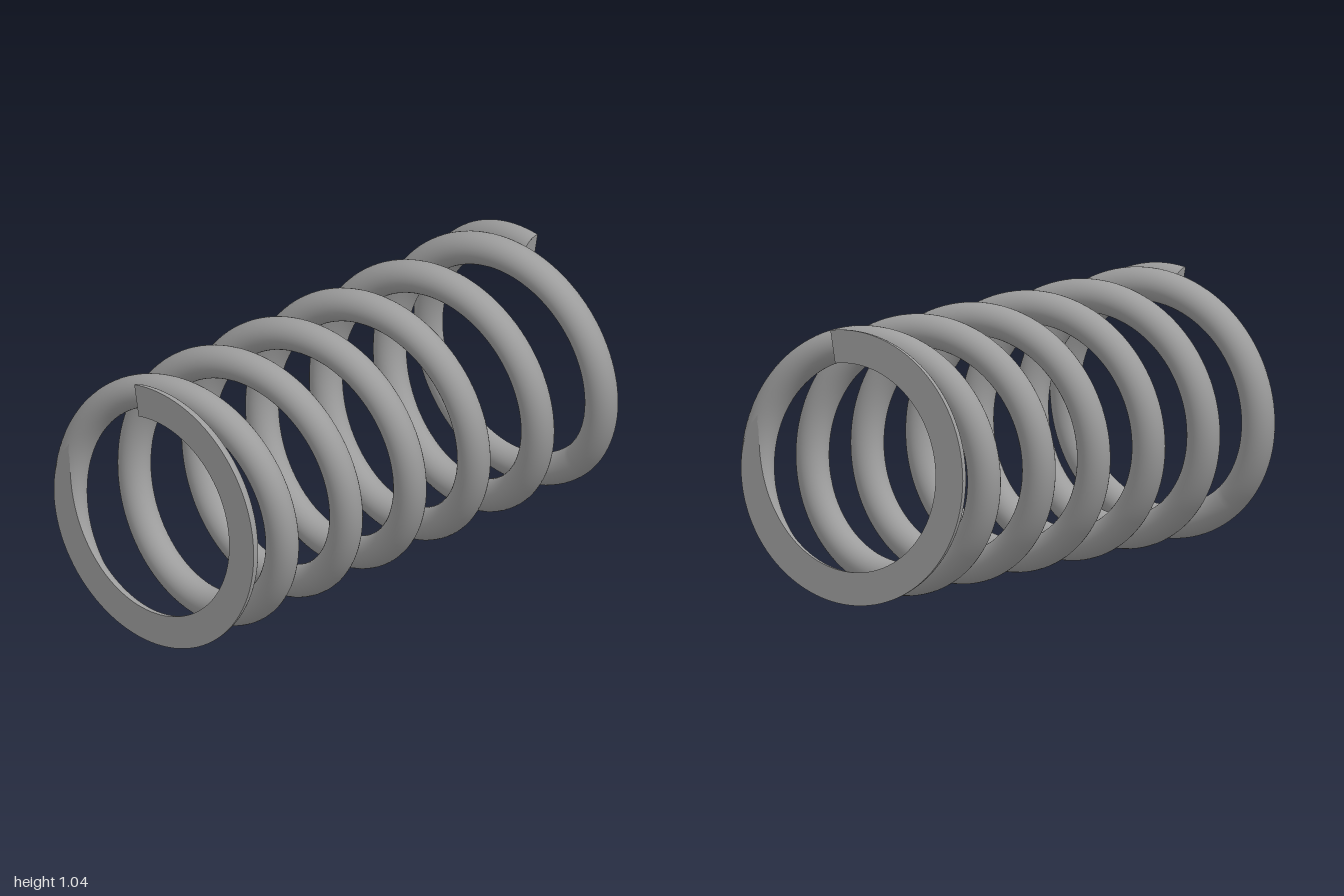
import * as THREE from 'three';

const COIL = 0.4555;   // coil centreline radius
const WIRE = 0.0625;   // wire radius
const PITCH = 0.3472;  // advance per turn
const END = 1;         // ground end plane
const TURNS = 3.528;   // turns from the middle to one tip
const STEPS = 380;
const SIDES = 32;

const turnAt = (i) => (i / STEPS) * TURNS;
const angleAt = (t) => -Math.PI / 2 + t * Math.PI * 2;
const centreZ = (t) => Math.min(PITCH * t, END);

// Surface from a grid of [position, normal] pairs
function gridSurface(rows, cols, point) {
  const pos = [], nor = [], idx = [];
  for (let i = 0; i <= rows; i++) {
    for (let j = 0; j <= cols; j++) {
      const [p, n] = point(i, j);
      pos.push(...p.toArray());
      nor.push(...n.normalize().toArray());
      if (i < rows && j < cols) {
        const a = i * (cols + 1) + j, b = a + cols + 1;
        idx.push(a, b, a + 1, b, b + 1, a + 1);
      }
    }
  }
  const g = new THREE.BufferGeometry();
  g.setAttribute('position', new THREE.Float32BufferAttribute(pos, 3));
  g.setAttribute('normal', new THREE.Float32BufferAttribute(nor, 3));
  g.setIndex(idx);
  return g;
}

// Angle on the wire section where the end plane cuts it (PI/2 = uncut)
const cutAngle = (t) => Math.asin(Math.min(1, (END - centreZ(t)) / WIRE));

// Round part of the wire, trimmed by the end plane
function wireGeometry() {
  return gridSurface(STEPS, SIDES, (i, j) => {
    const t = turnAt(i), th = angleAt(t), cut = cutAngle(t);
    const a = THREE.MathUtils.lerp(Math.PI - cut, Math.PI * 2 + cut, j / SIDES);
    const rad = COIL + WIRE * Math.cos(a);
    const slope = PITCH * t < END ? PITCH / (Math.PI * 2 * rad) : 0;
    const c = Math.cos(th), s = Math.sin(th), ca = Math.cos(a), sa = Math.sin(a);
    return [
      new THREE.Vector3(rad * c, rad * s, centreZ(t) + WIRE * sa),
      new THREE.Vector3(ca * c + slope * sa * s, ca * s - slope * sa * c, sa),
    ];
  });
}

// Flat ground face closing the trimmed wire, on the same rows as the wire
function flatGeometry() {
  const first = Math.floor(((END - WIRE) / PITCH / TURNS) * STEPS);
  return gridSurface(STEPS - first, 1, (i, j) => {
    const t = turnAt(first + i), th = angleAt(t), cut = cutAngle(t);
    const rad = COIL + (j ? -1 : 1) * WIRE * Math.cos(cut);
    return [
      new THREE.Vector3(rad * Math.cos(th), rad * Math.sin(th), centreZ(t) + WIRE * Math.sin(cut)),
      new THREE.Vector3(0, 0, 1),
    ];
  });
}

// Half-disc at the wire tip
function tipGeometry() {
  const th = angleAt(TURNS), c = Math.cos(th), s = Math.sin(th);
  const m = new THREE.Matrix4().makeBasis(
    new THREE.Vector3(-c, -s, 0), new THREE.Vector3(0, 0, 1), new THREE.Vector3(-s, c, 0));
  m.setPosition(COIL * c, COIL * s, END);
  return new THREE.CircleGeometry(WIRE, 24, Math.PI, Math.PI).applyMatrix4(m);
}

export function createModel() {
  const spring = new THREE.Group();
  spring.name = 'compressionSpring';
  const material = new THREE.MeshStandardMaterial({ color: 0x9d9d9d });
  const parts = { coilWire: wireGeometry(), groundFace: flatGeometry(), wireTip: tipGeometry() };

  // Two identical halves, the back one turned half way round
  ['frontHalf', 'backHalf'].forEach((name, k) => {
    const half = new THREE.Group();
    half.name = name;
    for (const [part, geometry] of Object.entries(parts)) {
      const mesh = new THREE.Mesh(geometry, material);
      mesh.name = part;
      half.add(mesh);
    }
    half.rotation.y = k * Math.PI;
    half.position.y = COIL + WIRE;
    spring.add(half);
  });
  return spring;
}
